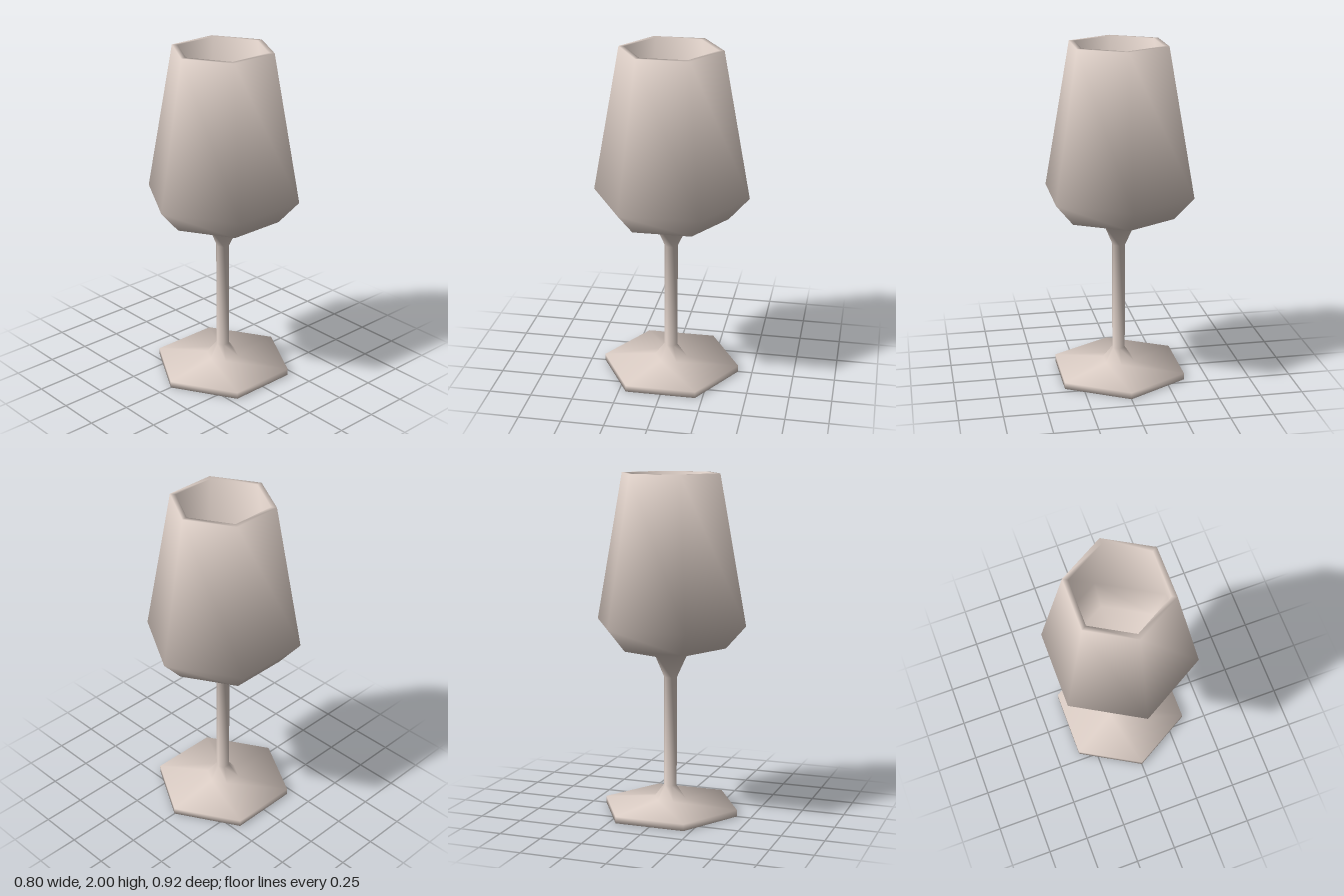
import * as THREE from 'three';

// Corner radius and height of the six-sided outline, from under the foot, up the outside, and down the inside.
const PROFILE = [
  [0, 0], [0.415, 0], [0.415, 0.04], [0.1, 0.075], [0.04, 0.155],
  [0.04, 0.81], [0.1, 0.94],
  [0.34, 1.0], [0.46, 1.135], [0.3, 2.0],
  [0.267, 2.0], [0.425, 1.14], [0.315, 1.035], [0.08, 0.975], [0, 0.97],
].map(([r, y]) => new THREE.Vector2(r, y));
const SIDES = 6;

// Smooth profile normals: the even average of the two neighbouring slopes
const slopes = PROFILE.slice(1).map((p, i) => {
  const d = p.clone().sub(PROFILE[i]).normalize();
  return new THREE.Vector2(d.y, -d.x);
});
const NORMALS = PROFILE.map((p, i) => {
  if (p.x === 0) return new THREE.Vector2(0, i === 0 ? -1 : 1);
  return slopes[i - 1].clone().add(slopes[i]).normalize();
});

// Turns one stretch of the profile into a part, sharing normals with its neighbours
function turnedPart(name, first, last, material) {
  const points = PROFILE.slice(first, last + 1);
  const geometry = new THREE.LatheGeometry(points, SIDES);
  const normal = geometry.attributes.normal;
  for (let s = 0; s <= SIDES; s++) {
    const angle = (s / SIDES) * Math.PI * 2;
    for (let j = 0; j < points.length; j++) {
      const n = NORMALS[first + j];
      normal.setXYZ(s * points.length + j, n.x * Math.sin(angle), n.y, n.x * Math.cos(angle));
    }
  }
  const mesh = new THREE.Mesh(geometry, material);
  mesh.name = name;
  return mesh;
}

export function createModel() {
  const glass = new THREE.MeshStandardMaterial({ color: 0xd9cbc3 });
  glass.name = 'pale glass';

  const goblet = new THREE.Group();
  goblet.name = 'wineGlass';
  goblet.add(
    turnedPart('foot', 0, 4, glass),
    turnedPart('stem', 4, 6, glass),
    turnedPart('bowlOutside', 6, 9, glass),
    turnedPart('rim', 9, 10, glass),
    turnedPart('bowlInside', 10, 14, glass),
  );
  return goblet;
}
